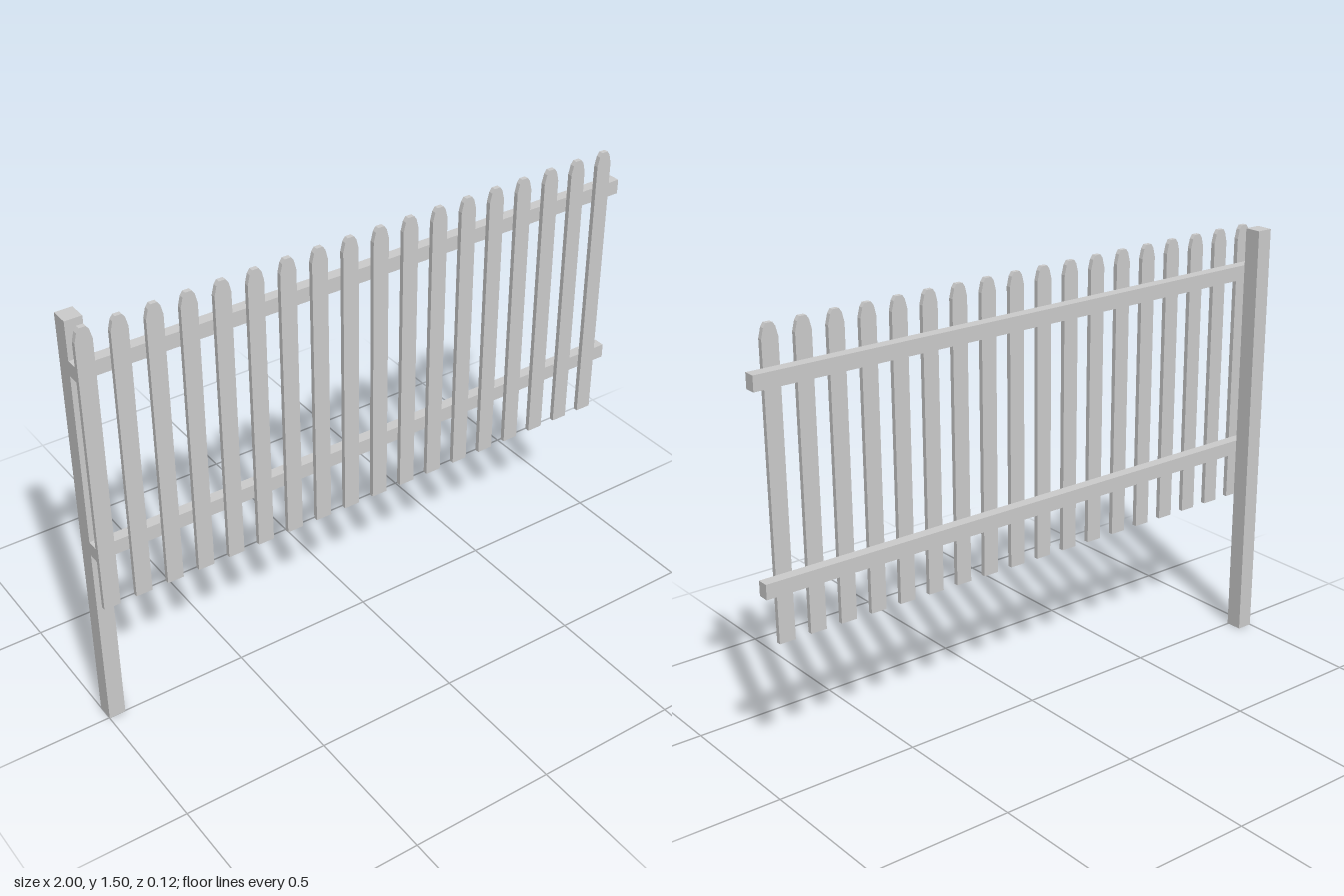
import * as THREE from 'three';

const material = new THREE.MeshStandardMaterial({ color: 0xcccccc, flatShading: true });
const openMaterial = material.clone();
openMaterial.side = THREE.DoubleSide;

// Box given by its lower and upper corners
function addBox(group, name, min, max, mat = material) {
  const size = max.map((v, i) => v - min[i]);
  const mesh = new THREE.Mesh(new THREE.BoxGeometry(...size), mat);
  mesh.position.set(...max.map((v, i) => (v + min[i]) / 2));
  mesh.name = name;
  group.add(mesh);
  return mesh;
}

// Upright board with a blunt, chamfered tip
function picketGeometry() {
  const half = [[0.028, 0.5], [0.028, 1.455], [0.02, 1.487], [0.011, 1.5]];
  const mirrored = half.map(([x, y]) => [-x, y]).reverse();
  const shape = new THREE.Shape([...half, ...mirrored].map(([x, y]) => new THREE.Vector2(x, y)));
  return new THREE.ExtrudeGeometry(shape, { depth: 0.016, bevelEnabled: false });
}

export function createModel() {
  const fence = new THREE.Group();
  fence.name = 'picketFence';

  // Post at one end, open underneath
  const post = addBox(fence, 'post', [-1, 0, -0.057], [-0.943, 1.5, 0.003], openMaterial);
  const index = Array.from(post.geometry.index.array);
  index.splice(18, 6); // underside
  post.geometry.setIndex(index);
  post.geometry.clearGroups();

  // Horizontal rails in front of the post
  addBox(fence, 'lowerRail', [-1, 0.678, 0.003], [1, 0.728, 0.042]);
  addBox(fence, 'upperRail', [-1, 1.321, 0.003], [1, 1.371, 0.042]);

  // Evenly spaced pickets on the front of the rails
  const pickets = new THREE.Group();
  pickets.name = 'pickets';
  const geometry = picketGeometry();
  const count = 18;
  for (let i = 0; i < count; i++) {
    const picket = new THREE.Mesh(geometry, material);
    picket.name = 'picket';
    picket.position.set(-0.972 + i * 0.111, 0, 0.042);
    pickets.add(picket);
  }
  fence.add(pickets);
  return fence;
}
